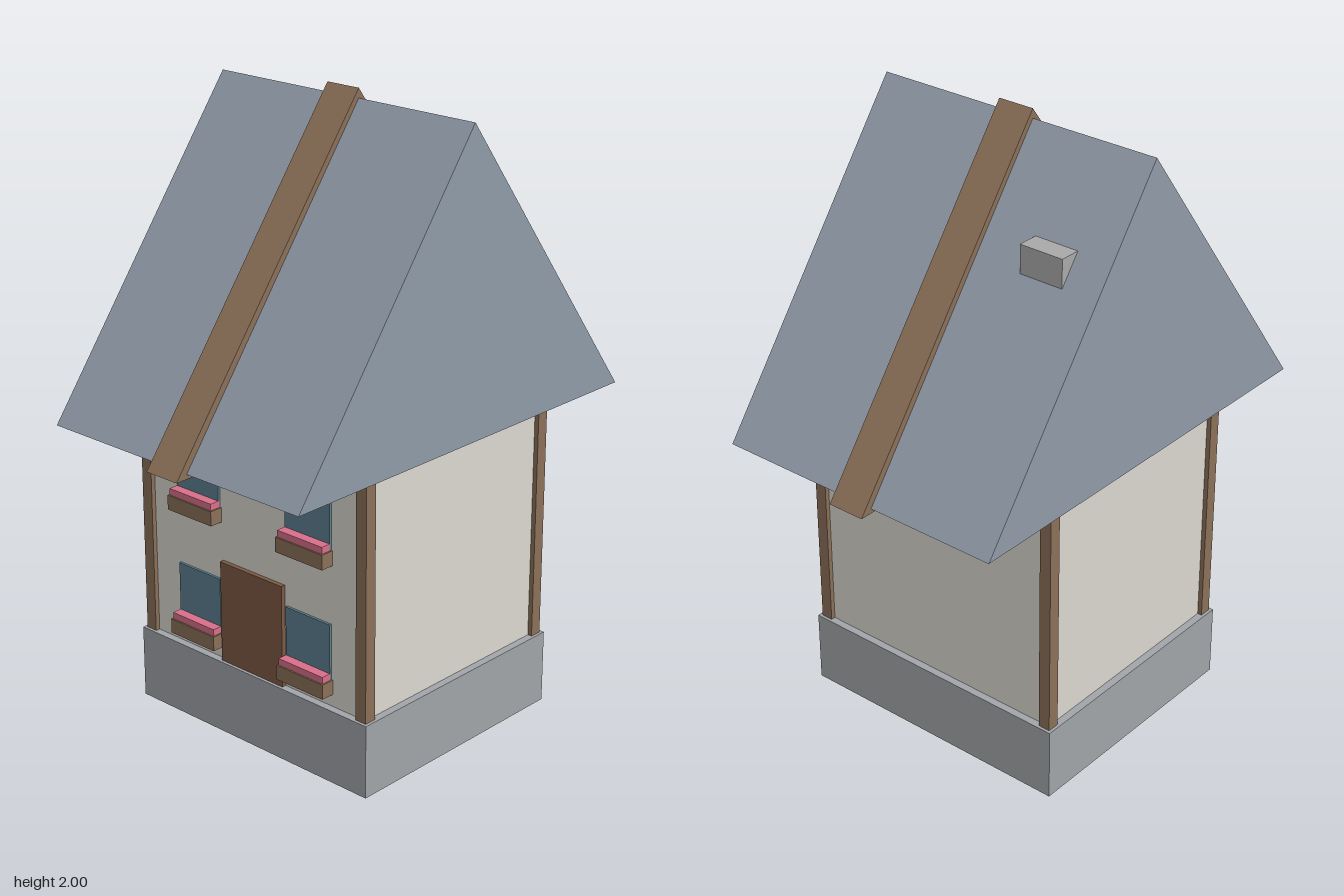
import * as THREE from 'three';

const mat = (color) => new THREE.MeshStandardMaterial({ color });
const stone = mat(0xa2a5a9), plaster = mat(0xdcd8d0), wood = mat(0x8b7058), slate = mat(0x909ba8);
const doorWood = mat(0x7d5a44), glass = mat(0x5c8091), petals = mat(0xd9708a), chimneyStone = mat(0xaaaaaa);

// Box given by its minimum and maximum on each axis
function box(name, material, [x0, x1], [y0, y1], [z0, z1]) {
  const mesh = new THREE.Mesh(new THREE.BoxGeometry(x1 - x0, y1 - y0, z1 - z0), material);
  mesh.position.set((x0 + x1) / 2, (y0 + y1) / 2, (z0 + z1) / 2);
  mesh.name = name;
  return mesh;
}

// Triangular prism along z, centred on z = 0
function prism(name, material, halfWidth, bottom, top, depth) {
  const shape = new THREE.Shape();
  shape.moveTo(-halfWidth, bottom);
  shape.lineTo(halfWidth, bottom);
  shape.lineTo(0, top);
  shape.closePath();
  const geo = new THREE.ExtrudeGeometry(shape, { depth, bevelEnabled: false });
  geo.translate(0, 0, -depth / 2);
  const mesh = new THREE.Mesh(geo, material);
  mesh.name = name;
  return mesh;
}

export function createModel() {
  const house = new THREE.Group();
  house.name = 'house';

  // Plinth and walls
  house.add(box('plinth', stone, [-0.42, 0.42], [0, 0.24], [-0.48, 0.48]));
  house.add(box('walls', plaster, [-0.395, 0.395], [0.24, 1.01], [-0.455, 0.455]));

  // Corner posts
  for (const sx of [-1, 1]) {
    for (const sz of [-1, 1]) {
      const post = box('cornerPost', wood, [-0.02, 0.02], [0.24, 1.01], [-0.02, 0.02]);
      post.position.x = sx * 0.39;
      post.position.z = sz * 0.45;
      house.add(post);
    }
  }

  // Roof, the wooden band over its middle, and the chimney
  house.add(prism('roof', slate, 0.717, 1.01, 1.97, 1.0));
  house.add(prism('roofBand', wood, 0.757, 0.995, 2.0, 0.124));
  house.add(box('chimney', chimneyStone, [0.11, 0.255], [1.57, 1.72], [-0.377, -0.226]));

  // Door side: door, four windows, each with a flower box
  house.add(box('door', doorWood, [-0.41, -0.39], [0.24, 0.575], [-0.13, 0.13]));
  for (const sill of [0.28, 0.7]) {
    for (const side of [-1, 1]) {
      const z = side * 0.23;
      const unit = new THREE.Group();
      unit.name = 'windowWithFlowerBox';
      unit.add(box('windowPane', glass, [-0.403, -0.39], [sill + 0.04, sill + 0.23], [z - 0.09, z + 0.09]));
      unit.add(box('flowerBox', wood, [-0.44, -0.39], [sill, sill + 0.048], [z - 0.095, z + 0.095]));
      unit.add(box('flowers', petals, [-0.435, -0.39], [sill + 0.045, sill + 0.07], [z - 0.09, z + 0.09]));
      house.add(unit);
    }
  }
  return house;
}
